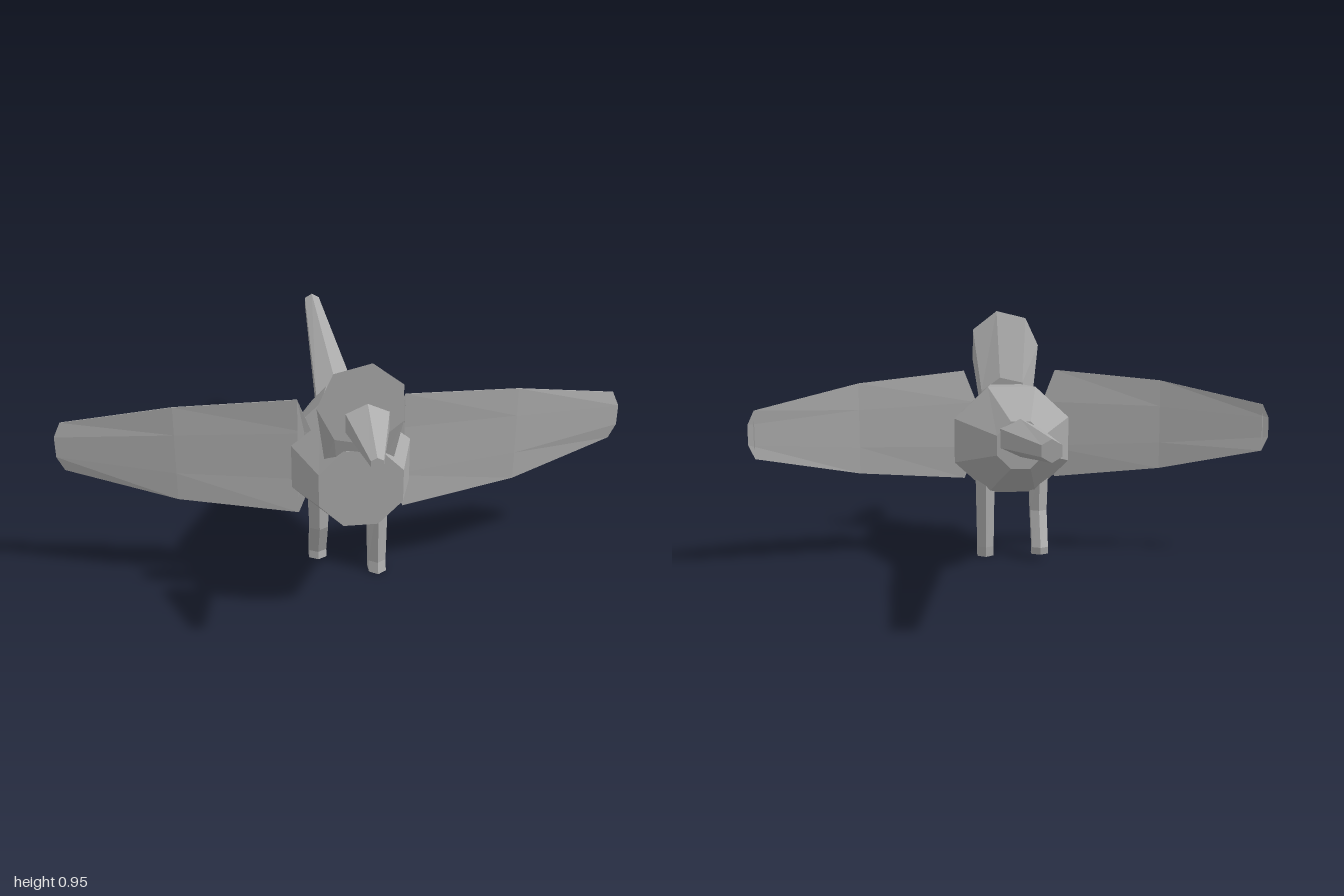
import * as THREE from 'three';

// Skin a list of closed rings, with flat caps at both ends.
function loft(rings) {
  const pos = [];
  const tri = (...pts) => pts.forEach((p) => pos.push(...p));
  const n = rings[0].length;
  for (let r = 0; r < rings.length - 1; r++) {
    for (let i = 0; i < n; i++) {
      const j = (i + 1) % n;
      const [a, b, c, d] = [rings[r][i], rings[r][j], rings[r + 1][j], rings[r + 1][i]];
      tri(a, b, c);
      tri(a, c, d);
    }
  }
  const first = rings[0], last = rings[rings.length - 1];
  for (let i = 1; i < n - 1; i++) {
    tri(first[0], first[i + 1], first[i]);
    tri(last[0], last[i], last[i + 1]);
  }
  const geometry = new THREE.BufferGeometry();
  geometry.setAttribute('position', new THREE.Float32BufferAttribute(pos, 3));
  geometry.computeVertexNormals();
  return geometry;
}

// Ring of n points; place(cos, sin) gives each position.
function ring(n, startDegrees, place) {
  return Array.from({ length: n }, (_, i) => {
    const a = THREE.MathUtils.degToRad(startDegrees) + (i / n) * Math.PI * 2;
    return place(Math.cos(a), Math.sin(a));
  });
}

// Ring facing along z; lean shifts z with height.
const ringZ = (n, start, y, z, rx, ry = rx, lean = 0) =>
  ring(n, start, (c, s) => [c * rx, y + s * ry, z + s * lean]);

// Horizontal ring for the legs.
const ringY = (x, y, z, rx, rz) =>
  ring(6, 30, (c, s) => [x + c * rx, y, z - s * rz]);

// Flat ring across a wing; bulge bows its middle outwards.
const ringX = (side, x, y, z, h, bulge) =>
  ring(8, 22.5, (c, s) => [side * (x + bulge * Math.abs(s)), y + c * h, z + s * 0.004]);

export function createModel() {
  const model = new THREE.Group();
  const grey = new THREE.MeshStandardMaterial({ color: 0xaaaaaa });
  grey.name = 'plain grey';
  grey.flatShading = true;
  const add = (name, rings) => {
    const mesh = new THREE.Mesh(loft(rings), grey);
    mesh.name = name;
    model.add(mesh);
  };

  // Eight-sided body, widest at the wings
  add('body', [
    ringZ(8, 22.5, 0.49, -0.06, 0.094),
    ringZ(8, 22.5, 0.462, 0.27, 0.242, 0.225),
    ringZ(8, 22.5, 0.514, 0.59, 0.148),
  ]);

  // Long tapering tail
  add('tail', [
    ringZ(6, 30, 0.6, -0.89, 0.035),
    ringZ(6, 30, 0.515, -0.045, 0.086, 0.07),
  ]);

  // Head flaring forward from the neck
  add('head', [
    ringZ(7, 78, 0.58, 0.535, 0.11, 0.105, -0.012),
    ringZ(7, 78, 0.812, 0.6, 0.143),
  ]);

  // Beak, floating ahead of the head
  add('beak', [
    ringZ(6, 30, 0.805, 0.7, 0.077, 0.061),
    ringZ(6, 30, 0.767, 0.89, 0.022, 0.018),
  ]);

  // Thin wings swept back to the tips
  for (const side of [1, -1]) {
    const rings = [
      ringX(side, 0.215, 0.513, 0.355, 0.232, -0.09),
      ringX(side, 0.59, 0.513, 0.28, 0.19, 0),
      ringX(side, 0.957, 0.51, 0.17, 0.099, 0.045),
    ];
    add(side > 0 ? 'leftWing' : 'rightWing', side > 0 ? rings : rings.reverse());
  }

  // Left leg stands straight, right leg is bent back
  add('leftLeg', [
    ringY(0.105, 0, 0.287, 0.036, 0.044),
    ringY(0.105, 0.04, 0.277, 0.036, 0.04),
    ringY(0.105, 0.33, 0.272, 0.042, 0.04),
  ]);
  add('rightLeg', [
    ringY(-0.102, 0.022, 0.205, 0.037, 0.035),
    ringY(-0.102, 0.05, 0.2, 0.036, 0.034),
    ringY(-0.103, 0.185, 0.262, 0.037, 0.038),
    ringY(-0.105, 0.33, 0.272, 0.042, 0.04),
  ]);

  return model;
}
